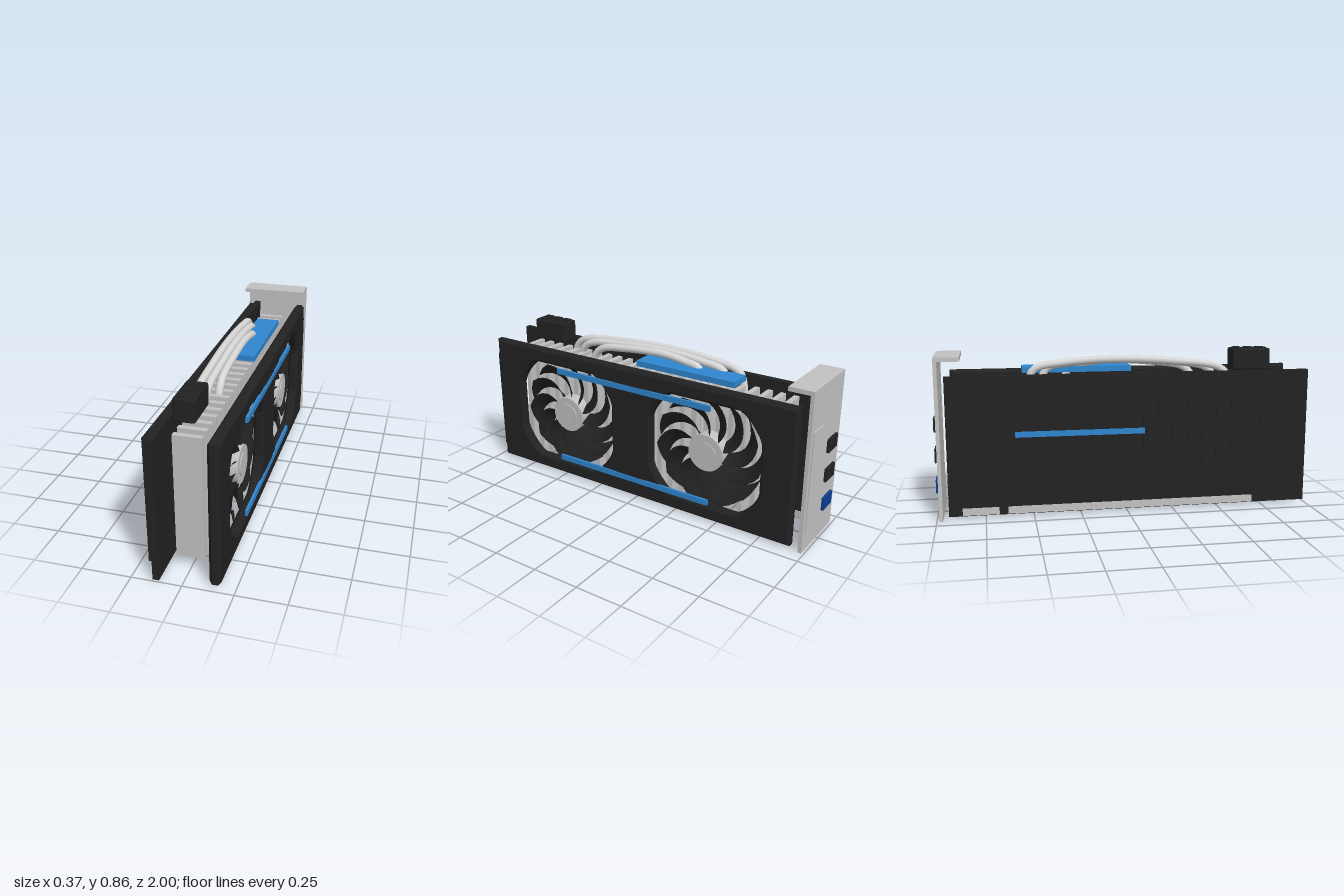
import * as THREE from 'three';
import { RoundedBoxGeometry } from 'three/addons/geometries/RoundedBoxGeometry.js';

const mat = (name, color, side = THREE.FrontSide) => {
  const m = new THREE.MeshStandardMaterial({ color, side });
  m.name = name;
  return m;
};

export function createModel() {
  const black = mat('black plastic', 0x222222, THREE.DoubleSide);
  const metal = mat('light metal', 0xc2c2c2);
  const pipeMetal = mat('bright pipe metal', 0xd6d6d6, THREE.DoubleSide);
  const blue = mat('blue accent', 0x2f86d0);
  const navy = mat('dark blue port', 0x0b3f90);

  const model = new THREE.Group();
  model.name = 'graphicsCard';
  const add = (name, geometry, material, parent = model) => {
    const mesh = new THREE.Mesh(geometry, material);
    mesh.name = name;
    parent.add(mesh);
    return mesh;
  };
  // Box given by its lower and upper limits on each axis
  const box = (name, material, x0, x1, y0, y1, z0, z1, parent) => {
    const g = new THREE.BoxGeometry(x1 - x0, y1 - y0, z1 - z0);
    g.translate((x0 + x1) / 2, (y0 + y1) / 2, (z0 + z1) / 2);
    return add(name, g, material, parent);
  };
  const group = (name) => {
    const g = new THREE.Group();
    g.name = name;
    model.add(g);
    return g;
  };

  // Circuit board with its edge connector in two segments
  box('circuitBoard', black, -0.142, -0.11, 0.01, 0.742, -0.94, 1);
  box('edgeConnectorShort', metal, -0.145, -0.107, 0.013, 0.052, -0.87, -0.68);
  box('edgeConnectorLong', metal, -0.145, -0.107, 0.013, 0.052, -0.635, 0.7);

  // Backplate with raised ribs and accent stripe
  box('backplate', black, -0.17, -0.15, 0.085, 0.732, -0.92, 0.965);
  box('backplateSpacer', black, -0.152, -0.14, 0.3, 0.5, -0.6, 0.6);
  box('backplateStripe', blue, -0.174, -0.169, 0.425, 0.455, -0.59, 0.09);
  const ribs = group('backplateRibs');
  for (let i = 0; i < 9; i++) {
    const z = 0.08 + i * 0.08;
    box('rib', black, -0.174, -0.169, 0.22, 0.66, z, z + 0.04, ribs);
  }

  // Heatsink fins
  const fins = group('heatsinkFins');
  for (let i = 0; i < 24; i++) {
    const z = -0.797 + i * 0.071;
    box('fin', metal, -0.075, 0.066, 0.055, 0.702, z - 0.014, z + 0.014, fins);
  }

  // Heat pipes arching over the fins
  const pipes = group('heatPipes');
  [[-0.067, 0.57, -0.51, 0.81], [-0.03, 0.5, -0.44, 0.805], [0.005, 0.385, -0.315, 0.8]]
    .forEach(([x, front, back, top]) => {
      const points = [
        [0.64, front], [0.7, front], [0.755, front - 0.05], [top - 0.015, front * 0.45],
        [top, -0.08], [top - 0.015, back * 0.65], [0.765, back + 0.03], [0.7, back], [0.255, back],
      ].map(([y, z]) => new THREE.Vector3(x, y, z));
      const curve = new THREE.CatmullRomCurve3(points);
      add('heatPipe', new THREE.TubeGeometry(curve, 60, 0.02, 14), pipeMetal, pipes);
    });

  // Top accent plate
  box('topPlate', blue, -0.028, 0.096, 0.74, 0.77, -0.54, 0.04);

  // Power connector with socket caps
  const power = group('powerConnector');
  const body = add('connectorBody', new RoundedBoxGeometry(0.107, 0.116, 0.21, 2, 0.01), black, power);
  body.position.set(-0.034, 0.797, 0.695);
  for (const x of [-0.058, -0.012])
    for (const z of [0.63, 0.695, 0.76])
      box('socket', black, x - 0.016, x + 0.016, 0.85, 0.86, z - 0.021, z + 0.021, power);

  // Fan shroud: bevelled plate with two clipped circular openings
  const fanZ = [0.475, -0.42];
  const fanY = 0.377;
  const shroudShape = new THREE.Shape();
  [[-0.965, 0.01], [0.92, 0.01], [0.92, 0.745], [-0.965, 0.745]]
    .forEach(([a, b], i) => (i ? shroudShape.lineTo(a, b) : shroudShape.moveTo(a, b)));
  shroudShape.closePath();
  for (const z of fanZ) {
    const hole = new THREE.Path();
    for (let i = 0; i < 64; i++) {
      const t = -(i / 64) * Math.PI * 2;
      const a = -z + THREE.MathUtils.clamp(0.35 * Math.cos(t), -0.32, 0.32);
      const b = fanY + THREE.MathUtils.clamp(0.35 * Math.sin(t), -0.286, 0.286);
      if (i) hole.lineTo(a, b);
      else hole.moveTo(a, b);
    }
    hole.closePath();
    shroudShape.holes.push(hole);
  }
  const shroudGeometry = new THREE.ExtrudeGeometry(shroudShape, {
    depth: 0.03, bevelEnabled: true, bevelThickness: 0.014, bevelSize: 0.014,
    bevelOffset: -0.014, bevelSegments: 1,
  });
  shroudGeometry.rotateY(Math.PI / 2);
  shroudGeometry.translate(0.134, 0, 0);
  add('fanShroud', shroudGeometry, black);

  // Raised shroud panels and accent strips
  box('frontShroudPanel', black, 0.17, 0.181, 0.09, 0.665, 0.82, 0.955);
  box('rearShroudPanel', black, 0.17, 0.181, 0.09, 0.665, -0.905, -0.765);
  box('middleShroudPanel', black, 0.17, 0.181, 0.09, 0.665, -0.065, 0.125);
  for (const y of [0.115, 0.641])
    box('shroudStrip', blue, 0.172, 0.186, y - 0.015, y + 0.015, -0.457, 0.512);

  // Swept, pitched blade running from the hub to the tip
  const bladeGeometry = new THREE.PlaneGeometry(1, 1, 6, 10);
  const p = bladeGeometry.attributes.position;
  for (let i = 0; i < p.count; i++) {
    const u = p.getX(i);
    const v = p.getY(i) + 0.5;
    const r = 0.085 + v * 0.22;
    const angle = u * (0.4 + 0.08 * v) + 0.75 * v * v;
    const x = 0.112 - u * (0.066 - 0.024 * v) + 0.006 * Math.cos(u * Math.PI);
    p.setXYZ(i, x, r * Math.cos(angle), r * Math.sin(angle));
  }
  bladeGeometry.computeVertexNormals();

  // Fans
  for (const z of fanZ) {
    const fan = group('fan');
    fan.position.set(0, fanY, z);
    const hub = add('fanHub', new THREE.CylinderGeometry(0.1, 0.1, 0.07, 40), metal, fan);
    hub.rotation.z = -Math.PI / 2;
    hub.position.x = 0.115;
    const cap = add('hubCap', new THREE.CylinderGeometry(0.06, 0.06, 0.006, 32), metal, fan);
    cap.rotation.z = -Math.PI / 2;
    cap.position.x = 0.152;
    for (let i = 0; i < 11; i++)
      add('fanBlade', bladeGeometry, black, fan).rotation.x = (i / 11) * Math.PI * 2;
  }

  // Mounting bracket with bent lip, cover panel and ports
  box('bracketPlate', metal, -0.187, 0.178, 0, 0.845, -0.987, -0.968);
  box('bracketLip', metal, -0.187, 0.178, 0.823, 0.845, -0.968, -0.857);
  box('bracketPanel', metal, 0.045, 0.155, 0.1, 0.64, -0.993, -0.986);
  [[0.495, black], [0.335, black], [0.175, navy]].forEach(([y, material]) =>
    box('port', material, -0.14, -0.035, y - 0.035, y + 0.035, -1, -0.986));

  return model;
}
